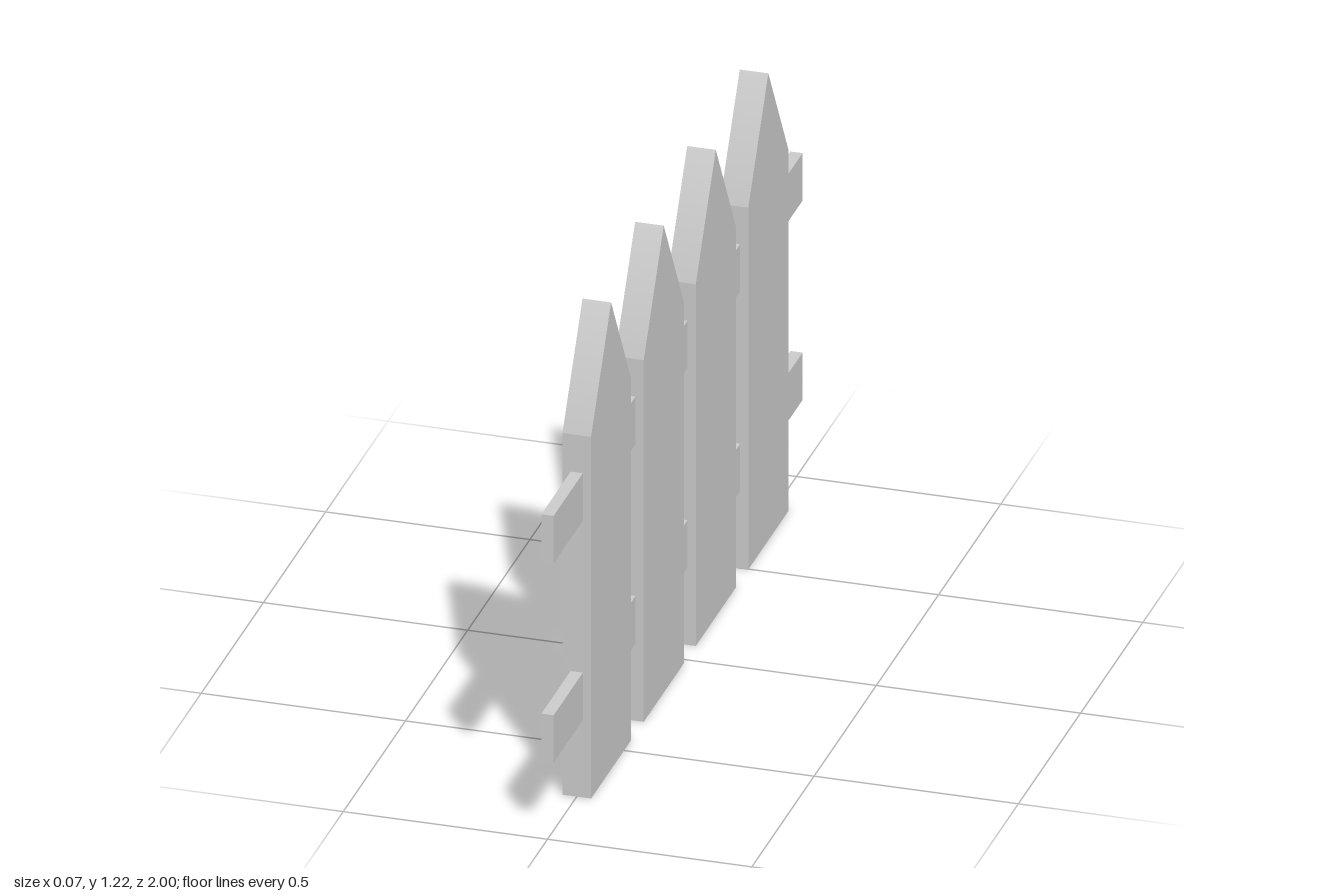
import * as THREE from 'three';

const WIDTH = 0.322, SHOULDER = 0.945, TIP = 1.22, DEPTH = 0.07;

// Pointed board, outlined in the z-y plane and extruded along x
function picketGeometry() {
  const w = WIDTH / 2;
  const shape = new THREE.Shape([
    [-w, 0], [w, 0], [w, SHOULDER], [0, TIP], [-w, SHOULDER],
  ].map(([a, b]) => new THREE.Vector2(a, b)));
  const geo = new THREE.ExtrudeGeometry(shape, { depth: DEPTH, bevelEnabled: false });
  geo.translate(0, 0, -DEPTH / 2);
  geo.rotateY(-Math.PI / 2);

  // Soft shading over the sloped top: upright at the tip, outward at the shoulders
  const pos = geo.attributes.position, nor = geo.attributes.normal;
  for (let i = 0; i < pos.count; i++) {
    const ny = nor.getY(i);
    if (ny < 0.1) continue;
    if (pos.getY(i) > SHOULDER + 0.1) nor.setXYZ(i, 0, 1, 0);
    else nor.setXYZ(i, 0, 0.26, 0.966 * Math.sign(pos.getZ(i)));
  }
  return geo;
}

export function createModel() {
  const group = new THREE.Group();
  group.name = 'picketFence';
  const material = new THREE.MeshStandardMaterial({ color: 0xcccccc });

  // Four pickets side by side
  const picket = picketGeometry();
  [0.604, 0.181, -0.237, -0.659].forEach((z, i) => {
    const mesh = new THREE.Mesh(picket, material);
    mesh.name = `picket${i + 1}`;
    mesh.position.z = z;
    group.add(mesh);
  });

  // Two rails running through all pickets
  const rail = new THREE.BoxGeometry(0.03, 0.124, 2);
  [['lowerRail', 0.264], ['upperRail', 0.785]].forEach(([name, y]) => {
    const mesh = new THREE.Mesh(rail, material);
    mesh.name = name;
    mesh.position.y = y;
    group.add(mesh);
  });
  return group;
}
